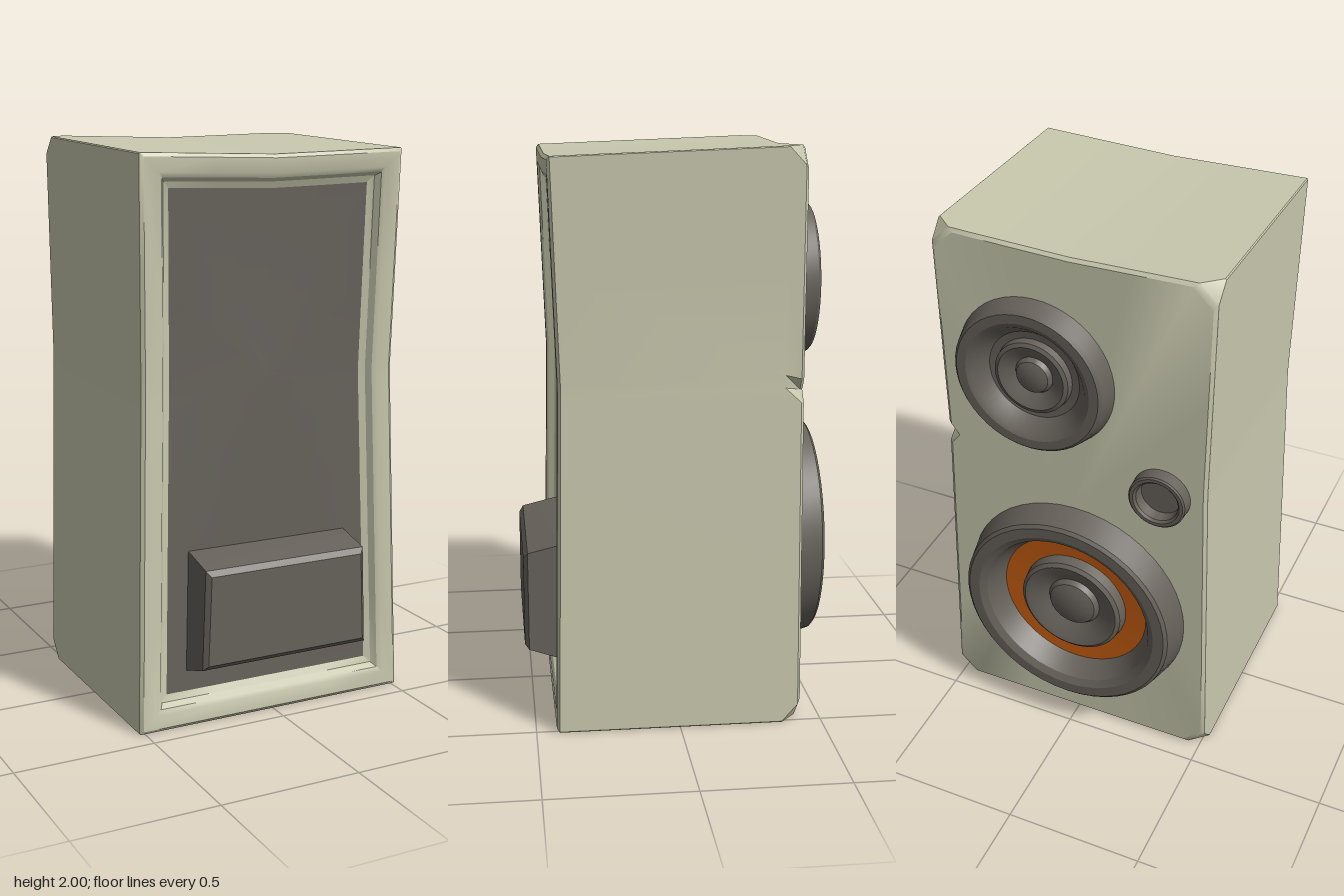
import * as THREE from 'three';
import { toCreasedNormals } from 'three/addons/utils/BufferGeometryUtils.js';

const mat = (name, color) => Object.assign(new THREE.MeshStandardMaterial({ color }), { name });

// Piecewise value at the foot, waist (y = 1.2) and top of the cabinet
const waist = (y, foot, mid, top) =>
  y < 1.2 ? THREE.MathUtils.lerp(foot, mid, y / 1.2) : THREE.MathUtils.lerp(mid, top, (y - 1.2) / 0.8);

// Skin loops that run anticlockwise seen from +z, ordered back to front, with optional fan caps
function loft(loops, capBack, capFront, crease = 0.5) {
  const pos = [];
  const tri = (...pts) => pts.forEach(p => pos.push(...p));
  for (let k = 0; k + 1 < loops.length; k++) {
    const A = loops[k], B = loops[k + 1];
    A.forEach((a, j) => {
      const n = (j + 1) % A.length;
      tri(a, A[n], B[n]);
      tri(a, B[n], B[j]);
    });
  }
  const cap = (loop, centre, flip) => loop.forEach((a, j) => {
    const b = loop[(j + 1) % loop.length];
    flip ? tri(centre, b, a) : tri(centre, a, b);
  });
  if (capBack) cap(loops[0], capBack, true);
  if (capFront) cap(loops[loops.length - 1], capFront, false);
  const geo = new THREE.BufferGeometry();
  geo.setAttribute('position', new THREE.Float32BufferAttribute(pos, 3));
  return toCreasedNormals(geo, crease);
}

const bend = y => waist(y, 0, -0.022, 0.005);
const rise = [0, 0.15, 0.3, 0.45, 0.575, 0.597, 0.619, 0.8, 1];
const across = [0, 0.25, 0.5, 0.75, 1];

// Pinched cabinet outline at depth z, shrunk by inset, with cut corners and a nick in the left edge
function outline({ z, inset = 0, cut = 0.004, curved = 0, nick = 0 }) {
  const left = y => waist(y, 0.517, 0.477, 0.487) - inset;
  const right = y => waist(y, -0.52, -0.49, -0.5) + inset;
  const top = x => 2 - 0.032 * (z + 0.425) / 0.85 - 0.014 * Math.max(0, 1 - Math.abs(x) / 0.5) - inset;
  const y0 = inset + cut, y1 = top(0.5) - cut;
  const yAt = t => y0 + (y1 - y0) * t;
  const pts = [];
  rise.forEach((t, i) => pts.push([left(yAt(t)) - (i === 5 ? nick : 0), yAt(t)]));
  across.forEach(t => {
    const x = THREE.MathUtils.lerp(left(2) - cut, right(2) + cut, t);
    pts.push([x, top(x)]);
  });
  rise.slice().reverse().forEach(t => pts.push([right(yAt(t)), yAt(t)]));
  across.forEach(t => pts.push([THREE.MathUtils.lerp(right(0) + cut, left(0) - cut, t), inset]));
  return pts.map(([x, y]) => [x, y, z + curved * bend(y)]);
}

// Turned part that faces backwards from the cabinet's rear wall
function turned(name, profile, material, x, y) {
  const pts = profile.map(([r, h]) => new THREE.Vector2(r, h));
  const geo = toCreasedNormals(new THREE.LatheGeometry(pts, 48).rotateX(-Math.PI / 2), 0.45);
  const mesh = new THREE.Mesh(geo, material);
  mesh.name = name;
  mesh.position.set(x, y, -0.425);
  return mesh;
}

export function createModel() {
  const group = new THREE.Group();
  group.name = 'loudspeaker';
  const cream = mat('cream', 0xc9c9af);
  const grey = mat('warmGrey', 0x66615a);
  const orange = mat('orange', 0xc05a10);
  const add = (name, geo, material) => {
    const mesh = new THREE.Mesh(geo, material);
    mesh.name = name;
    group.add(mesh);
  };

  // Cabinet shell, including the raised frame around the front
  const panelEdge = outline({ z: 0.39, inset: 0.115, curved: 1 });
  add('cabinet', loft([
    outline({ z: -0.425, inset: 0.012, cut: 0.07, nick: 0.03 }),
    outline({ z: -0.415, cut: 0.065, nick: 0.03 }),
    outline({ z: -0.36 }),
    outline({ z: 0.42, curved: 1 }),
    outline({ z: 0.43, inset: 0.012, curved: 1 }),
    outline({ z: 0.43, inset: 0.062, curved: 1 }),
    outline({ z: 0.422, inset: 0.078, curved: 1 }),
    outline({ z: 0.4, inset: 0.092, curved: 1 }),
    panelEdge,
  ], [0, 1, -0.425], null), cream);

  // Recessed front panel
  add('frontPanel', loft([panelEdge], null, [0, 1.2, 0.39 + bend(1.2)]), grey);

  // Wedge-sided box low on the front panel
  const slab = (z, y0, y1, s) =>
    [[0.318 - s, y0], [0.305 - s, y1], [-0.312 + s, y1], [-0.325 + s, y0]].map(([x, y]) => [x, y, z]);
  add('frontBox', loft([
    slab(0.36, 0.18, 0.62, 0), slab(0.39, 0.19, 0.615, 0), slab(0.515, 0.233, 0.585, 0),
    slab(0.53, 0.25, 0.565, 0.016),
  ], null, [0, 0.4, 0.53], 0.2), grey);

  // Woofer: bezel, coloured surround and cone
  const wx = -0.005, wy = 0.575;
  group.add(
    turned('wooferBezel', [[0.42, 0], [0.397, 0.095], [0.385, 0.105], [0.345, 0.105], [0.32, 0.09], [0.28, 0.015]], grey, wx, wy),
    turned('wooferSurround', [[0.285, 0.016], [0.18, 0.01]], orange, wx, wy),
    turned('wooferCone', [[0.2, 0.008], [0.194, 0.05], [0.18, 0.06], [0.162, 0.056], [0.1, 0.022],
      [0.088, 0.04], [0.06, 0.05], [0, 0.054]], grey, wx, wy),
  );

  // Tweeter
  group.add(
    turned('tweeterBezel', [[0.285, 0], [0.268, 0.06], [0.258, 0.07], [0.225, 0.07], [0.205, 0.06], [0.165, 0.012], [0.13, 0.008]], grey, 0.125, 1.525),
    turned('tweeterCone', [[0.138, 0.006], [0.134, 0.034], [0.12, 0.04], [0.105, 0.034], [0.068, 0.012],
      [0.058, 0.028], [0.04, 0.035], [0, 0.038]], grey, 0.125, 1.525),
  );

  // Bass port
  group.add(turned('port', [[0.104, 0], [0.102, 0.045], [0.096, 0.05], [0.084, 0.05], [0.076, 0.042],
    [0.072, 0.004], [0, 0.004]], grey, -0.33, 1.16));

  return group;
}
